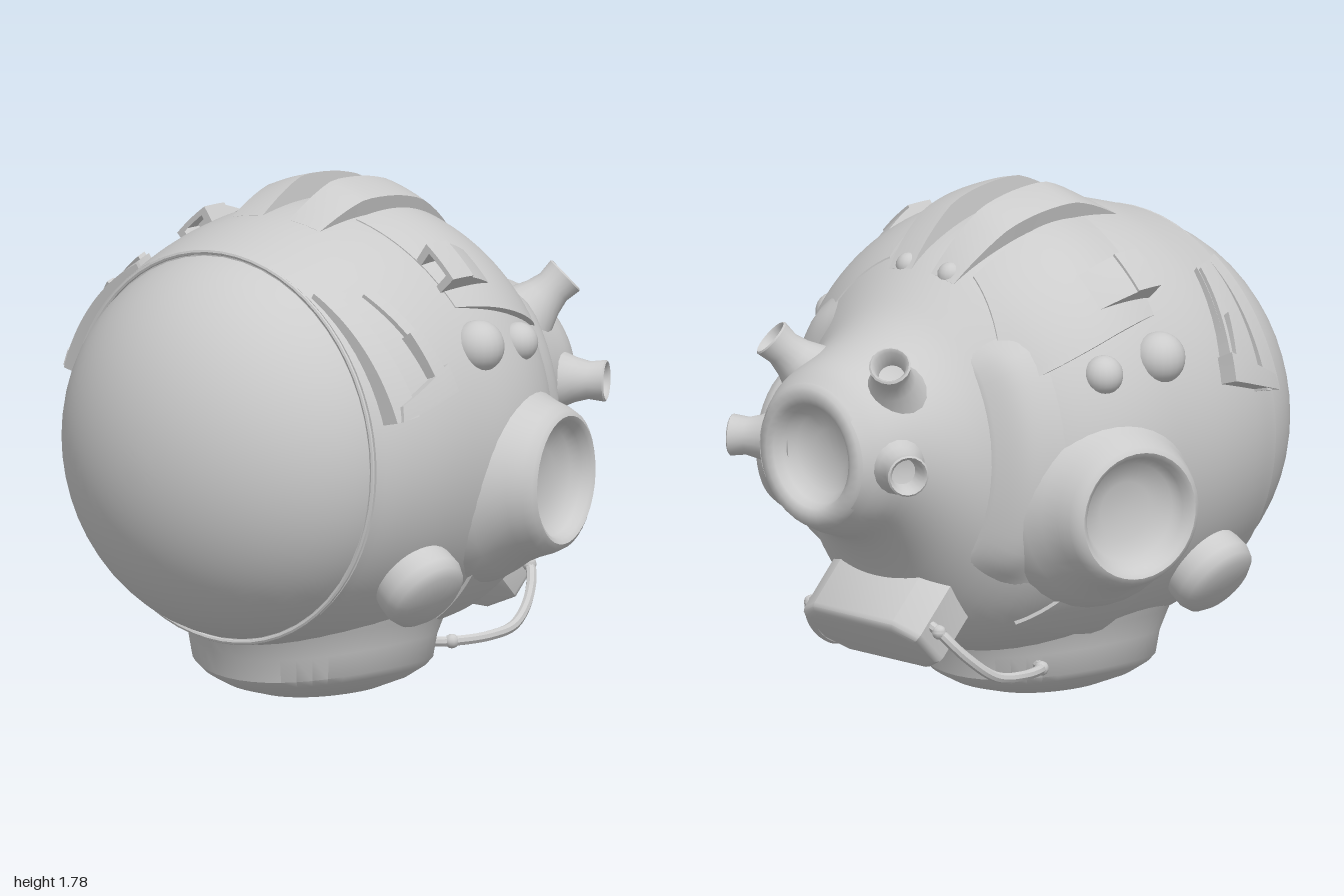
import * as THREE from 'three';
import { toCreasedNormals } from 'three/addons/utils/BufferGeometryUtils.js';

const V = (x, y, z) => new THREE.Vector3(x, y, z);
const rad = THREE.MathUtils.degToRad;
const lerp = THREE.MathUtils.lerp;
const material = new THREE.MeshStandardMaterial({ color: 0xcccccc, side: THREE.DoubleSide });

// Shell stations, back to front: z, half width, top y, bottom y
const stations = [
  [-0.975, 0.25, 1.22, 0.75], [-0.92, 0.29, 1.27, 0.71], [-0.8, 0.335, 1.32, 0.66],
  [-0.7, 0.38, 1.36, 0.56], [-0.6, 0.45, 1.42, 0.42], [-0.5, 0.55, 1.505, 0.3],
  [-0.4, 0.65, 1.58, 0.235], [-0.25, 0.73, 1.65, 0.19], [-0.1, 0.765, 1.69, 0.17],
  [0.1, 0.77, 1.7, 0.17], [0.3, 0.76, 1.675, 0.19], [0.45, 0.73, 1.635, 0.22], [0.565, 0.69, 1.6, 0.245],
];
const section = new THREE.CubicInterpolant(
  new Float32Array(stations.map((s) => s[0])),
  new Float32Array(stations.flatMap((s) => s.slice(1))), 3);

// Point on the shell at an angle (0 = model's left, 90 = top), lifted by some height
function onShell(deg, z, lift = 0) {
  const [w, top, bottom] = section.evaluate(z);
  const ry = (top - bottom) / 2, c = Math.cos(rad(deg)), s = Math.sin(rad(deg));
  const n = V(c * ry, s * w, 0).normalize();
  return V(c * w, (top + bottom) / 2 + s * ry, z).addScaledVector(n, lift);
}

// Quad grid from a point rule; rows run front to back, columns by rising angle
function grid(rows, cols, rule) {
  const pos = [], idx = [];
  for (let i = 0; i <= rows; i++) for (let j = 0; j <= cols; j++) pos.push(...rule(i, j).toArray());
  for (let i = 0; i < rows; i++) for (let j = 0; j < cols; j++) {
    const a = i * (cols + 1) + j, b = a + cols + 1;
    idx.push(a, b, a + 1, b, b + 1, a + 1);
  }
  const g = new THREE.BufferGeometry();
  g.setAttribute('position', new THREE.Float32BufferAttribute(pos, 3));
  g.setIndex(idx);
  return g;
}

// Raised plate on the shell; corners [angle, z]: low front, low back, high back, high front
function plate([lf, lb, hb, hf], height, base = -0.03) {
  const n = 18, h = typeof height === 'function' ? height : () => height;
  return grid(n + 2, n + 2, (i, j) => {
    const edge = i === 0 || j === 0 || i === n + 2 || j === n + 2;
    const u = THREE.MathUtils.clamp((i - 1) / n, 0, 1), v = THREE.MathUtils.clamp((j - 1) / n, 0, 1);
    const at = (k) => lerp(lerp(lf[k], lb[k], u), lerp(hf[k], hb[k], u), v);
    return onShell(at(0), at(1), edge ? base : h(u, v));
  });
}

// Turns a geometry from one axis to a direction and moves it
function place(g, axis, dir, pos) {
  g.applyQuaternion(new THREE.Quaternion().setFromUnitVectors(axis, dir.clone().normalize()));
  return g.translate(pos.x, pos.y, pos.z);
}
const turned = (profile, dir, pos, sides = 36) =>
  place(new THREE.LatheGeometry(profile.map((p) => new THREE.Vector2(...p)), sides), V(0, 1, 0), dir, pos);

function mirrored(g) {
  const m = (g.index ? g.toNonIndexed() : g.clone()).scale(-1, 1, 1);
  const p = m.attributes.position, a = V(), b = V();
  for (let i = 0; i < p.count; i += 3) {
    a.fromBufferAttribute(p, i);
    b.fromBufferAttribute(p, i + 2);
    p.setXYZ(i, b.x, b.y, b.z);
    p.setXYZ(i + 2, a.x, a.y, a.z);
  }
  return m;
}

export function createModel() {
  const model = new THREE.Group();
  model.name = 'helmet';
  const add = (name, g, crease = 40) => {
    for (const key of ['uv', 'normal']) g.deleteAttribute(key);
    const mesh = new THREE.Mesh(toCreasedNormals(g, rad(crease)), material);
    mesh.name = name;
    model.add(mesh);
  };
  const addPair = (name, g, crease) => {
    add(name + 'Left', g, crease);
    add(name + 'Right', mirrored(g), crease);
  };

  // Main shell with the inner lip at the front
  const rows = 44;
  add('shell', grid(rows + 1, 72, (i, j) => {
    const z = lerp(0.565, -0.975, Math.max(0, i - 1) / rows);
    return onShell(j * 5, z, i === 0 ? -0.04 : 0);
  }));

  // Rear port: rounded lip and concave dish
  add('rearPort', turned([[0.252, -0.01], [0.238, 0.008], [0.205, 0.014], [0.182, 0.002], [0.168, -0.03],
    [0.14, -0.07], [0.08, -0.095], [0, -0.1]], V(0, 0, -1), V(0, 0.985, -0.975)), 60);

  // Bubble visor and its rim
  const visor = new THREE.SphereGeometry(1, 48, 20, 0, Math.PI * 2, 0, Math.PI / 2 - 0.1);
  visor.rotateX(Math.PI / 2).scale(0.675, 0.675, 0.55).translate(0, 0.92, 0.45);
  add('visor', visor);
  add('visorRim', new THREE.TorusGeometry(0.672, 0.01, 8, 64).translate(0, 0.921, 0.563));

  // Neck collar with a domed, saddle-shaped underside
  const collar = turned([[0, 0.003], [0.12, 0.008], [0.24, 0.022], [0.34, 0.047], [0.405, 0.078], [0.43, 0.1],
    [0.445, 0.18], [0.475, 0.25], [0.52, 0.34]], V(0, 1, 0), V(0, 0, 0), 48).scale(1, 1, 0.89).translate(0, 0, 0.1);
  const cp = collar.attributes.position;
  for (let i = 0; i < cp.count; i++) cp.setY(i, cp.getY(i) + 0.055 * (cp.getX(i) / 0.44) ** 2);
  add('neckCollar', collar, 35);

  // Twin crest ridges fading into the shell at both ends
  const ridge = plate([[75, 0.29], [75, -0.45], [85.5, -0.45], [85.5, 0.29]],
    (u, v) => 0.083 * Math.min(1, Math.sin(Math.PI * u) * 1.25) * (0.72 + 0.28 * v));
  addPair('crestRidge', ridge);
  addPair('crestStud', new THREE.SphereGeometry(0.045, 16, 10).translate(0.1, 1.54, -0.41));

  // Upper side plates rising from the shell, each with a forward vent
  addPair('upperPlate', plate([[38, 0.06], [31, -0.52], [72, -0.4], [74, 0.12]],
    (u) => 0.026 * Math.sin(Math.PI * (0.04 + 0.9 * u))));
  addPair('ventHood', plate([[43, 0], [43, -0.17], [54, -0.17], [54, 0]], (u) => 0.075 - 0.055 * u));
  addPair('ventRoof', plate([[43, 0.085], [43, -0.02], [54, -0.02], [54, 0.085]], 0.078, 0.06));
  for (const a of [43, 52]) {
    addPair('ventWall', plate([[a, 0.085], [a, -0.02], [a + 2, -0.02], [a + 2, 0.085]], 0.07));
  }

  // Brow panels: base plate, edge rails and lower latch block
  addPair('browPanel', plate([[13, 0.51], [18, 0.27], [50, 0.38], [55, 0.55]], (u, v) => 0.04 - 0.02 * v));
  addPair('browFrontRail', plate([[13, 0.525], [13.5, 0.44], [53, 0.49], [56, 0.555]], (u, v) => 0.065 - 0.045 * v));
  addPair('browRearRail', plate([[20, 0.32], [20, 0.275], [49, 0.38], [49, 0.42]], (u, v) => 0.06 - 0.025 * v));
  addPair('browLatch', plate([[13, 0.51], [17, 0.265], [24, 0.28], [17, 0.5]], 0.075));
  addPair('browLever', plate([[22, 0.35], [22, 0.295], [34, 0.34], [34, 0.38]], 0.075));

  // Round side knobs
  for (const [a, z, r] of [[27, 0.02, 0.09], [27, -0.22, 0.068]]) {
    const p = onShell(a, z, -0.012);
    addPair('sideKnob', new THREE.SphereGeometry(r, 20, 14).translate(p.x, p.y, p.z));
  }

  // Ear cups with concave faces, turned slightly backwards
  addPair('earCup', turned([[0.4, -0.36], [0.365, -0.25], [0.335, -0.2], [0.3, -0.15], [0.272, -0.09],
    [0.255, -0.04], [0.238, -0.008], [0.22, 0.002], [0.204, -0.008], [0.193, -0.04], [0.17, -0.07],
    [0.1, -0.095], [0, -0.1]], V(0.97, 0, -0.24), V(0.845, 0.795, -0.24)), 60);

  // Cheek pods
  addPair('cheekPod', turned([[0.125, -0.16], [0.15, -0.04], [0.152, 0.01], [0.14, 0.045], [0.11, 0.065],
    [0.05, 0.075], [0, 0.077]], V(0.8, -0.58, 0.08), V(0.655, 0.475, 0.29)));

  // Broad swells between the ears and the rear port
  addPair('rearSwell', plate([[-38, -0.4], [-38, -0.6], [50, -0.56], [50, -0.36]],
    (u, v) => 0.05 * Math.sin(Math.PI * u ** 1.6) * Math.min(1, 2.5 * Math.sin(Math.PI * v)) - 0.004), 50);

  // Shallow panels below the ears
  addPair('jawPanel', plate([[-57, -0.03], [-52, -0.4], [-34, -0.3], [-36, 0]], 0.012));

  // Flared nozzles around the rear port
  const nozzle = [[0.14, -0.09], [0.105, -0.02], [0.078, 0.04], [0.065, 0.09], [0.072, 0.145], [0.066, 0.15],
    [0.056, 0.14], [0.045, 0.07], [0, 0.06]];
  addPair('sideNozzle', turned(nozzle, V(0.87, 0, -0.5), V(0.3, 0.98, -0.86), 18));
  addPair('upperNozzle', turned(nozzle, V(0.42, 0.62, -0.52), V(0.22, 1.235, -0.8), 18));

  // Rear pack: chamfered block tipped down and back
  const outline = new THREE.Shape([[0.25, -0.055], [0.25, 0.055], [0.18, 0.1], [-0.18, 0.1], [-0.25, 0.055],
    [-0.25, -0.055], [-0.18, -0.1], [0.18, -0.1]].map((p) => new THREE.Vector2(...p)));
  const pack = new THREE.ExtrudeGeometry(outline,
    { depth: 0.24, bevelThickness: 0.03, bevelSize: 0.032, bevelSegments: 3 });
  add('rearPack', place(pack, V(0, 0, 1), V(0, -0.72, -0.69), V(0, 0.49, -0.51)), 35);

  // Hoses from the pack to the collar, with end fittings
  const hosePath = [V(0.24, 0.4, -0.67), V(0.31, 0.37, -0.67), V(0.37, 0.28, -0.6), V(0.4, 0.2, -0.49),
    V(0.4, 0.18, -0.36), V(0.35, 0.175, -0.22), V(0.27, 0.17, -0.17)];
  addPair('hose', new THREE.TubeGeometry(new THREE.CatmullRomCurve3(hosePath), 36, 0.018, 8));
  for (const p of [hosePath[1], hosePath[5]]) {
    addPair('hoseFitting', new THREE.SphereGeometry(0.025, 12, 8).translate(p.x, p.y, p.z));
  }
  return model;
}
